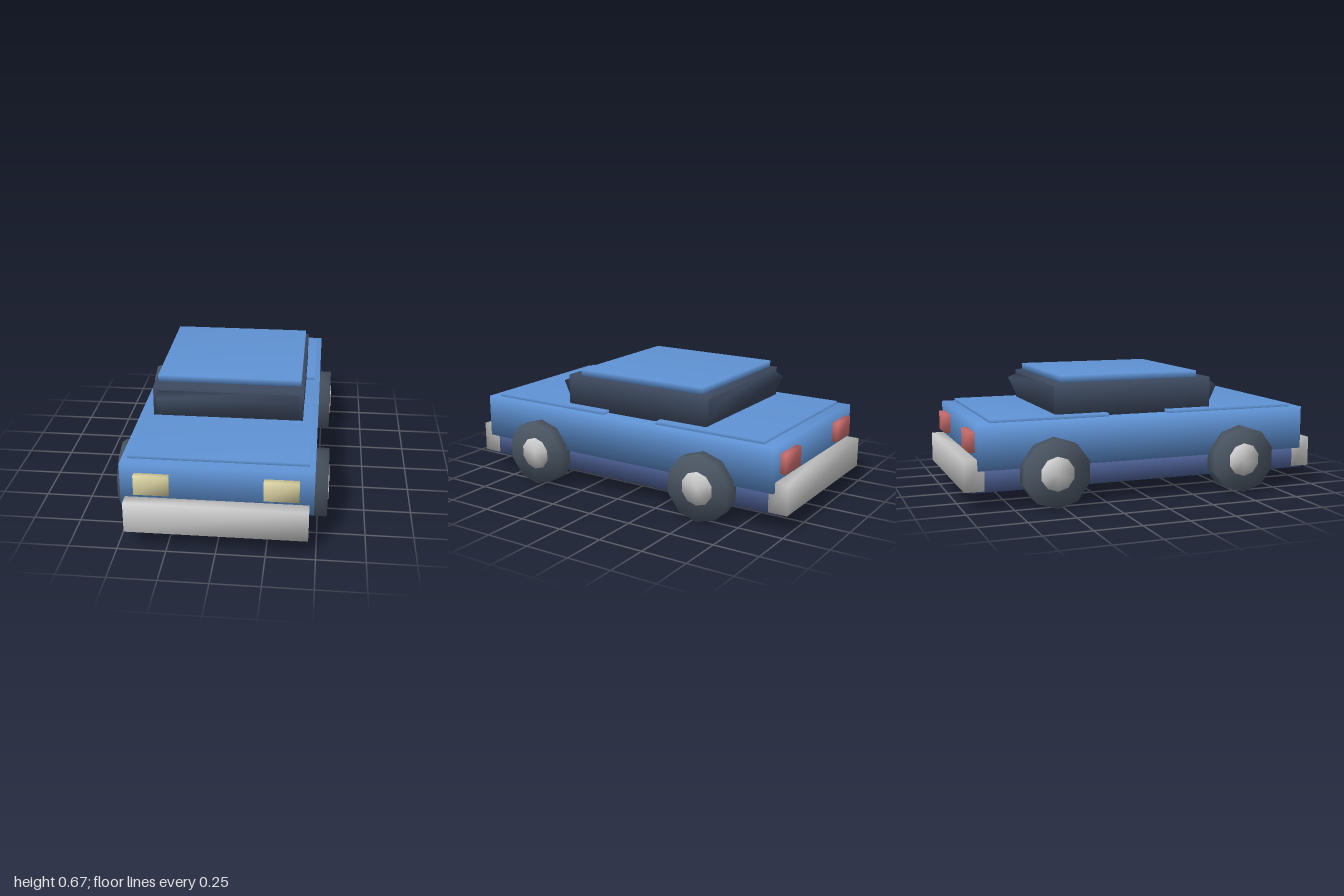
import * as THREE from 'three';
import { mergeVertices } from 'three/addons/utils/BufferGeometryUtils.js';

const mat = (color) => new THREE.MeshStandardMaterial({ color });

// Share corner vertices so the shading blends softly across edges
function soften(geometry) {
  geometry.deleteAttribute('normal');
  geometry.deleteAttribute('uv');
  const g = mergeVertices(geometry, 1e-4);
  g.computeVertexNormals();
  return g;
}

export function createModel() {
  const car = new THREE.Group();
  car.name = 'car';

  const paint = mat(0x5f92d4);
  const under = mat(0x51659c);
  const glass = mat(0x3c485e);
  const rubber = mat(0x4a5562);
  const grey = mat(0xcccccc);
  const yellow = mat(0xd8d0a0);
  const red = mat(0xd07070);

  // Box given by its extents on each axis
  function block(name, material, [x0, x1], [y0, y1], [z0, z1], parent = car) {
    const mesh = new THREE.Mesh(soften(new THREE.BoxGeometry(x1 - x0, y1 - y0, z1 - z0)), material);
    mesh.position.set((x0 + x1) / 2, (y0 + y1) / 2, (z0 + z1) / 2);
    mesh.name = name;
    parent.add(mesh);
    return mesh;
  }

  // Body shell
  block('chassis', under, [-0.455, 0.455], [0.095, 0.23], [-0.96, 0.96]);
  block('body', paint, [-0.483, 0.483], [0.212, 0.45], [-0.93, 0.93]);
  block('hood', paint, [-0.453, 0.453], [0.43, 0.467], [0.12, 0.87]);
  block('trunkLid', paint, [-0.453, 0.453], [0.43, 0.467], [-0.86, -0.22]);

  // Cabin and roof
  block('cabin', glass, [-0.403, 0.403], [0.43, 0.632], [-0.5, 0.39]);
  block('roof', paint, [-0.387, 0.387], [0.625, 0.668], [-0.465, 0.315]);

  // Window panels lean outward at the top; the outer top edge sits at (y, z)
  const lean = 0.44, height = 0.16, depth = 0.08;
  function windowPanel(name, side, y, z) {
    const pivot = new THREE.Group();
    pivot.name = name;
    pivot.position.set(0, y, z);
    pivot.rotation.x = side * lean;
    const zs = side > 0 ? [-depth, 0] : [0, depth];
    block(name + 'Glass', glass, [-0.38, 0.38], [-height, 0], zs, pivot);
    car.add(pivot);
  }
  windowPanel('windshield', 1, 0.587, 0.443);
  windowPanel('rearWindow', -1, 0.587, -0.553);

  // Bumpers
  block('frontBumper', grey, [-0.46, 0.46], [0.103, 0.267], [0.895, 1]);
  block('rearBumper', grey, [-0.46, 0.46], [0.103, 0.267], [-1, -0.895]);

  // Left and right lamps
  for (const [side, xs] of [['left', [0.235, 0.41]], ['right', [-0.41, -0.235]]]) {
    block(side + 'Headlight', yellow, xs, [0.296, 0.402], [0.9, 0.962]);
    block(side + 'Taillight', red, xs, [0.296, 0.402], [-0.962, -0.9]);
  }

  // Wheels: ten-sided tyre with a hub cap, axis along x, one corner at the top
  function disc(name, material, radius, x0, x1) {
    const g = new THREE.CylinderGeometry(radius, radius, x1 - x0, 10, 1, false, Math.PI / 2);
    g.rotateZ(Math.PI / 2);
    g.translate((x0 + x1) / 2, 0, 0);
    const mesh = new THREE.Mesh(soften(g), material);
    mesh.name = name;
    return mesh;
  }
  for (const sx of [1, -1]) {
    for (const sz of [1, -1]) {
      const wheel = new THREE.Group();
      wheel.name = (sz > 0 ? 'front' : 'rear') + (sx > 0 ? 'Left' : 'Right') + 'Wheel';
      const span = (a, b) => (sx > 0 ? [a, b] : [-b, -a]);
      wheel.add(disc('tyre', rubber, 0.183, ...span(0.42, 0.55)));
      wheel.add(disc('hubCap', grey, 0.091, ...span(0.43, 0.555)));
      wheel.position.set(0, 0.183, sz * 0.535);
      car.add(wheel);
    }
  }

  return car;
}
